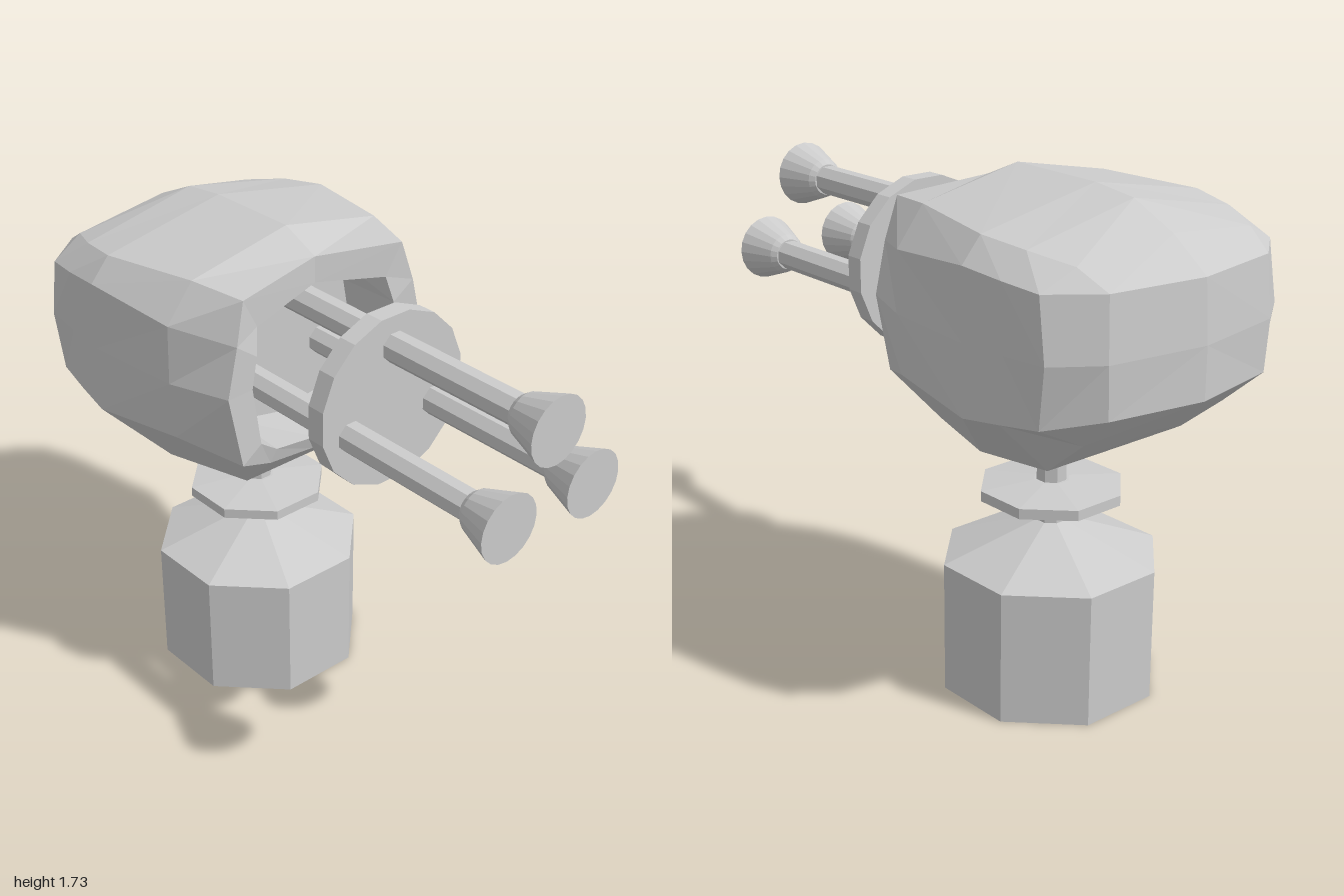
import * as THREE from 'three';

const grey = new THREE.MeshStandardMaterial({ color: 0xcccccc, flatShading: true });
const AXIS_Z = -0.36; // vertical axis of the stand

function add(parent, name, geometry, x = 0, y = 0, z = 0) {
  const mesh = new THREE.Mesh(geometry, grey);
  mesh.name = name;
  mesh.position.set(x, y, z);
  parent.add(mesh);
  return mesh;
}

// Closed turned shape from [radius, height] points
function turned(profile, sides, turn = 0) {
  const points = profile.map(([r, h]) => new THREE.Vector2(r, h));
  return new THREE.LatheGeometry(points, sides).rotateY(turn);
}

// Faceted housing: half cross-sections (top centre to bottom centre), mirrored in x
function housingGeometry() {
  const rings = [
    // recess back
    [[0, 1.57, -0.22], [0.25, 1.53, -0.22], [0.28, 1.44, -0.22], [0.3, 1.33, -0.22], [0.27, 1.13, -0.22], [0.2, 1.07, -0.22], [0, 1.03, -0.22]],
    // recess mouth
    [[0, 1.58, -0.04], [0.27, 1.53, 0], [0.29, 1.44, 0.02], [0.31, 1.33, 0.02], [0.28, 1.12, 0.02], [0.2, 1.06, 0], [0, 1.01, -0.04]],
    // front rim
    [[0, 1.67, -0.04], [0.33, 1.64, 0.01], [0.37, 1.5, 0.025], [0.41, 1.33, 0.025], [0.36, 1.07, 0.025], [0.22, 1.01, -0.01], [0, 0.955, -0.06]],
    // front shoulder
    [[0, 1.73, -0.18], [0.38, 1.655, -0.18], [0.48, 1.53, -0.18], [0.485, 1.33, -0.18], [0.47, 1.13, -0.18], [0.25, 0.91, -0.1], [0, 0.91, -0.1]],
    // widest section
    [[0, 1.725, -0.53], [0.45, 1.64, -0.53], [0.52, 1.56, -0.53], [0.52, 1.33, -0.53], [0.52, 1.1, -0.53], [0.34, 0.91, -0.4], [0, 0.91, -0.4]],
    // rear shoulder
    [[0, 1.705, -0.69], [0.42, 1.62, -0.69], [0.505, 1.545, -0.68], [0.505, 1.33, -0.69], [0.5, 1.115, -0.67], [0.29, 0.91, -0.65], [0, 0.91, -0.65]],
    // rear corner
    [[0, 1.63, -0.85], [0.36, 1.59, -0.83], [0.48, 1.53, -0.81], [0.485, 1.33, -0.84], [0.475, 1.13, -0.81], [0.3, 1.04, -0.81], [0, 1.02, -0.82]],
  ];
  const pos = [];
  const tri = (a, b, c) => {
    pos.push(...a, ...b, ...c);
    for (const [x, y, z] of [a, c, b]) pos.push(-x, y, z);
  };
  const quad = (a, b, c, d) => { tri(a, b, c); tri(a, c, d); };

  for (let i = 0; i < rings.length - 1; i++) {
    for (let j = 0; j < 6; j++) quad(rings[i][j], rings[i][j + 1], rings[i + 1][j + 1], rings[i + 1][j]);
  }
  // back wall of the recess
  for (let j = 0; j < 6; j++) tri([0, 1.33, -0.22], rings[0][j + 1], rings[0][j]);

  // rear face, joined to the last section
  const [T, A, B, C, D, E, F] = rings[6];
  const t = [0, 1.53, -0.985], a = [0.33, 1.53, -0.93];
  const m = [0, 1.33, -1], n = [0.34, 1.33, -0.945];
  const f = [0, 1.16, -1], e = [0.33, 1.16, -0.94];
  quad(T, A, a, t);
  tri(A, B, a);
  quad(t, a, n, m);
  quad(a, B, C, n);
  quad(n, C, D, e);
  quad(m, n, e, f);
  tri(e, D, E);
  quad(f, e, E, F);

  const geometry = new THREE.BufferGeometry();
  geometry.setAttribute('position', new THREE.Float32BufferAttribute(pos, 3));
  geometry.computeVertexNormals();
  return geometry;
}

export function createModel() {
  const model = new THREE.Group();
  model.name = 'turret';
  const eighth = Math.PI / 8;

  // Stand
  add(model, 'base', turned([[0, 0], [0.369, 0], [0.369, 0.455], [0.053, 0.575], [0, 0.575]], 8, eighth), 0, 0, AXIS_Z);
  add(model, 'post', new THREE.CylinderGeometry(0.052, 0.052, 0.42, 8).rotateY(eighth), 0, 0.77, AXIS_Z);
  add(model, 'collar', turned([[0, 0.652], [0.2, 0.655], [0.243, 0.665], [0.243, 0.7], [0.06, 0.718], [0, 0.718]], 8, eighth), 0, 0, AXIS_Z);

  add(model, 'housing', housingGeometry());

  // Barrels, each with a flared muzzle
  const shaft = new THREE.CylinderGeometry(0.052, 0.052, 1.09, 8).rotateY(eighth).rotateX(Math.PI / 2);
  const flare = turned([[0, 0.855], [0.055, 0.855], [0.07, 0.875], [0.113, 1], [0, 1]], 20).rotateX(Math.PI / 2);
  for (const [x, y] of [[0, 1.5], [-0.178, 1.25], [0.178, 1.25]]) {
    const barrel = new THREE.Group();
    barrel.name = 'barrel';
    barrel.position.set(x, y, 0);
    add(barrel, 'barrelShaft', shaft, 0, 0, 0.325);
    add(barrel, 'muzzle', flare);
    model.add(barrel);
  }

  // Plate tying the barrels together
  add(model, 'barrelPlate', new THREE.CylinderGeometry(0.297, 0.297, 0.066, 16).rotateY(Math.PI / 16).rotateX(Math.PI / 2), 0, 1.315, 0.3);

  return model;
}
